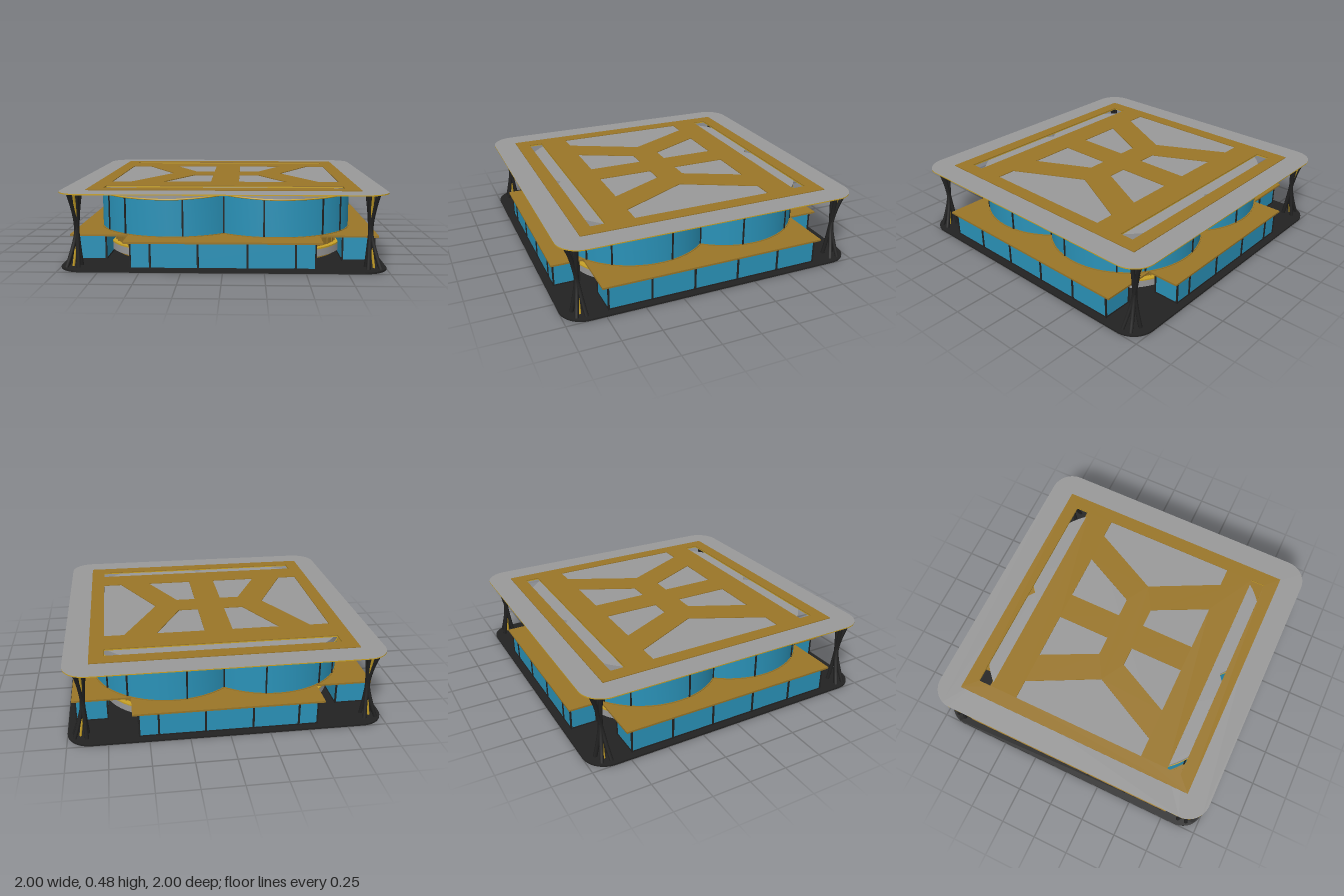
import * as THREE from 'three';
import { toCreasedNormals } from 'three/addons/utils/BufferGeometryUtils.js';

const mat = (color) => new THREE.MeshStandardMaterial({ color, side: THREE.DoubleSide });

export function createModel() {
  const model = new THREE.Group();
  const grey = mat(0x999999), gold = mat(0x9a7628), yellow = mat(0xc9a227);
  const glass = mat(0x2a92b8), dark = mat(0x222222);

  const add = (name, geometry, material, parent = model) => {
    const mesh = new THREE.Mesh(geometry, material);
    mesh.name = name;
    parent.add(mesh);
    return mesh;
  };
  const group = (name, parent = model) => {
    const g = new THREE.Group();
    g.name = name;
    parent.add(g);
    return g;
  };
  const box = (name, w, h, d, x, y, z, material, parent) => {
    const mesh = add(name, new THREE.BoxGeometry(w, h, d), material, parent);
    mesh.position.set(x, y, z);
    return mesh;
  };
  // Horizontal plate from a plan shape, between two heights
  const plate = (name, shape, y0, y1, material, parent) => {
    const g = new THREE.ExtrudeGeometry(shape, { depth: y1 - y0, bevelEnabled: false, curveSegments: 10 });
    g.rotateX(-Math.PI / 2).translate(0, y0, 0);
    return add(name, toCreasedNormals(g, 0.5), material, parent);
  };
  const poly = (pts) => pts.map(([x, y]) => new THREE.Vector2(x, y));
  const rect = (x0, y0, x1, y1) => poly([[x0, y0], [x1, y0], [x1, y1], [x0, y1]]);

  const roundedSquare = (s, r) => {
    const shape = new THREE.Shape(), q = Math.PI / 2;
    [[1, 1], [-1, 1], [-1, -1], [1, -1]].forEach(([sx, sy], i) =>
      shape.absarc(sx * (s - r), sy * (s - r), r, i * q, (i + 1) * q, false));
    return shape;
  };

  // Four-lobed plan: circles of radius r centred towards the corners
  const C = 0.33;
  const clover = (r) => {
    const pts = [], over = Math.asin(C / r), n = 36;
    for (let k = 0; k < 4; k++) {
      for (let i = 0; i < n; i++) {
        const a = -over + (Math.PI / 2 + 2 * over) * i / n;
        pts.push(new THREE.Vector2(C + r * Math.cos(a), C + r * Math.sin(a))
          .rotateAround(new THREE.Vector2(), k * Math.PI / 2));
      }
    }
    return pts;
  };
  const cloverShape = (r) => new THREE.Shape(clover(r));

  // Base
  plate('base', roundedSquare(1, 0.15), 0, 0.011, dark);

  // Ground floor core and curved corner benches
  plate('coreWall', cloverShape(0.42), 0.011, 0.175, gold);
  plate('bench', cloverShape(0.45), 0.03, 0.078, grey);
  plate('benchTrim', cloverShape(0.453), 0.078, 0.088, yellow);
  const slats = group('coreSlats');
  for (let k = 0; k < 4; k++) {
    const corner = group('cornerSlats', slats);
    corner.rotation.y = k * Math.PI / 2;
    for (let i = 0; i <= 10; i++) {
      const a = (i * 9) * Math.PI / 180;
      const s = box('slat', 0.012, 0.085, 0.008, C + 0.421 * Math.cos(a), 0.13, C + 0.421 * Math.sin(a), gold, corner);
      s.rotation.y = -a;
    }
  }

  // Glazed wings, one on each side
  const wing = (name, half, inner, angle) => {
    const g = group(name);
    g.rotation.y = angle;
    const mid = (0.95 + inner) / 2, depth = 0.95 - inner;
    box('wingGlass', half * 2, 0.16, depth, 0, 0.091, mid, glass, g);
    box('wingRoof', (half + 0.04) * 2, 0.012, 0.37, 0, 0.176, 0.785, gold, g);
    for (const x of [-0.44, -0.15, 0.15, 0.44]) box('mullion', 0.012, 0.16, 0.012, x, 0.091, 0.95, dark, g);
    for (const s of [-1, 1])
      for (const z of [inner, 0.95]) box('cornerPost', 0.01, 0.16, 0.01, s * half, 0.091, z, dark, g);
    box('sill', half * 2 + 0.006, 0.008, depth + 0.006, 0, 0.015, mid, dark, g);
  };
  wing('frontWing', 0.56, 0.78, 0);
  wing('backWing', 0.56, 0.78, Math.PI);
  wing('leftWing', 0.72, 0.75, Math.PI / 2);
  wing('rightWing', 0.72, 0.75, -Math.PI / 2);

  // Upper glazed drum
  plate('drumFloor', cloverShape(0.51), 0.17, 0.186, gold);
  plate('drumGlass', cloverShape(0.503), 0.186, 0.435, glass);
  const mullions = group('drumMullions');
  for (let k = 0; k < 4; k++) {
    const lobe = group('lobeMullions', mullions);
    lobe.rotation.y = k * Math.PI / 2;
    for (const deg of [-9, 35, 55, 99]) {
      const a = deg * Math.PI / 180;
      const m = box('mullion', 0.01, 0.235, 0.01, C + 0.504 * Math.cos(a), 0.302, C + 0.504 * Math.sin(a), dark, lobe);
      m.rotation.y = -a;
    }
    box('notchMullion', 0.01, 0.235, 0.01, 0, 0.302, C + Math.sqrt(0.503 ** 2 - C * C), dark, lobe);
  }

  // Cornice whose lower edge lifts towards the notches between the lobes
  const edgeY = (d) => 0.418 + 0.014 * THREE.MathUtils.clamp((0.9 - d) / 0.18, 0, 1);
  const cornice = plate('cornice', cloverShape(0.51), 0.418, 0.466, grey);
  const p = cornice.geometry.attributes.position;
  for (let i = 0; i < p.count; i++)
    if (p.getY(i) < 0.43) p.setY(i, edgeY(Math.hypot(p.getX(i), p.getZ(i))));
  const trimPath = new THREE.CatmullRomCurve3(
    clover(0.51).map((v) => new THREE.Vector3(v.x, edgeY(v.length()), v.y)), true);
  add('corniceTrim', new THREE.TubeGeometry(trimPath, 288, 0.005, 6, true), yellow);

  // Roof with two through slots and a gold fretwork panel on top
  const slots = () => [-1, 1].map((s) => new THREE.Path(rect(-0.75, s * 0.705 - 0.047, 0.75, s * 0.705 + 0.047)));
  const roof = roundedSquare(1, 0.15);
  roof.holes.push(...slots());
  plate('roof', roof, 0.468, 0.475, [grey, yellow]);
  const panel = new THREE.Shape(rect(-0.843, -0.843, 0.843, 0.843));
  panel.holes.push(...slots());
  for (const sx of [-1, 1]) {
    const flip = (pts) => new THREE.Path(poly(pts.map(([x, y]) => [x * sx, y])));
    panel.holes.push(flip([[0.75, -0.467], [0.62, -0.467], [0.385, 0], [0.62, 0.467], [0.75, 0.467]]));
    for (const sy of [-1, 1])
      panel.holes.push(flip([[0.093, sy * 0.467], [0.41, sy * 0.467], [0.226, sy * 0.094], [0.093, sy * 0.094]]));
  }
  plate('roofPanel', panel, 0.475, 0.48, gold);

  // Corner columns: bundled struts pinched at the waist, flaring at foot and head
  const struts = [
    [0.96, 0.86, 0.92, 0.955, dark, 0.013], [0.955, 0.92, 0.87, 0.93, dark, 0.013],
    [0.875, 0.86, 0.92, 0.89, dark, 0.013], [0.88, 0.93, 0.865, 0.89, dark, 0.013],
    [0.92, 0.89, 0.89, 0.95, yellow, 0.008],
  ];
  for (const sx of [-1, 1]) for (const sz of [-1, 1]) {
    const column = group('cornerColumn');
    for (const [bx, bz, tx, tz, material, r] of struts) {
      const at = (x, y, z) => new THREE.Vector3(sx * x, y, sz * z);
      const lean = (a, k) => 0.89 + (a - 0.89) * k;
      const path = new THREE.CatmullRomCurve3([
        at(bx, 0.01, bz), at(lean(bx, 0.55), 0.1, lean(bz, 0.55)), at(lean(bx, 0.15), 0.2, lean(bz, 0.15)),
        at(lean(tx, 0.15), 0.28, lean(tz, 0.15)), at(lean(tx, 0.5), 0.38, lean(tz, 0.5)), at(tx, 0.47, tz)]);
      add('strut', new THREE.TubeGeometry(path, 20, r, 6), material, column);
    }
  }
  return model;
}
